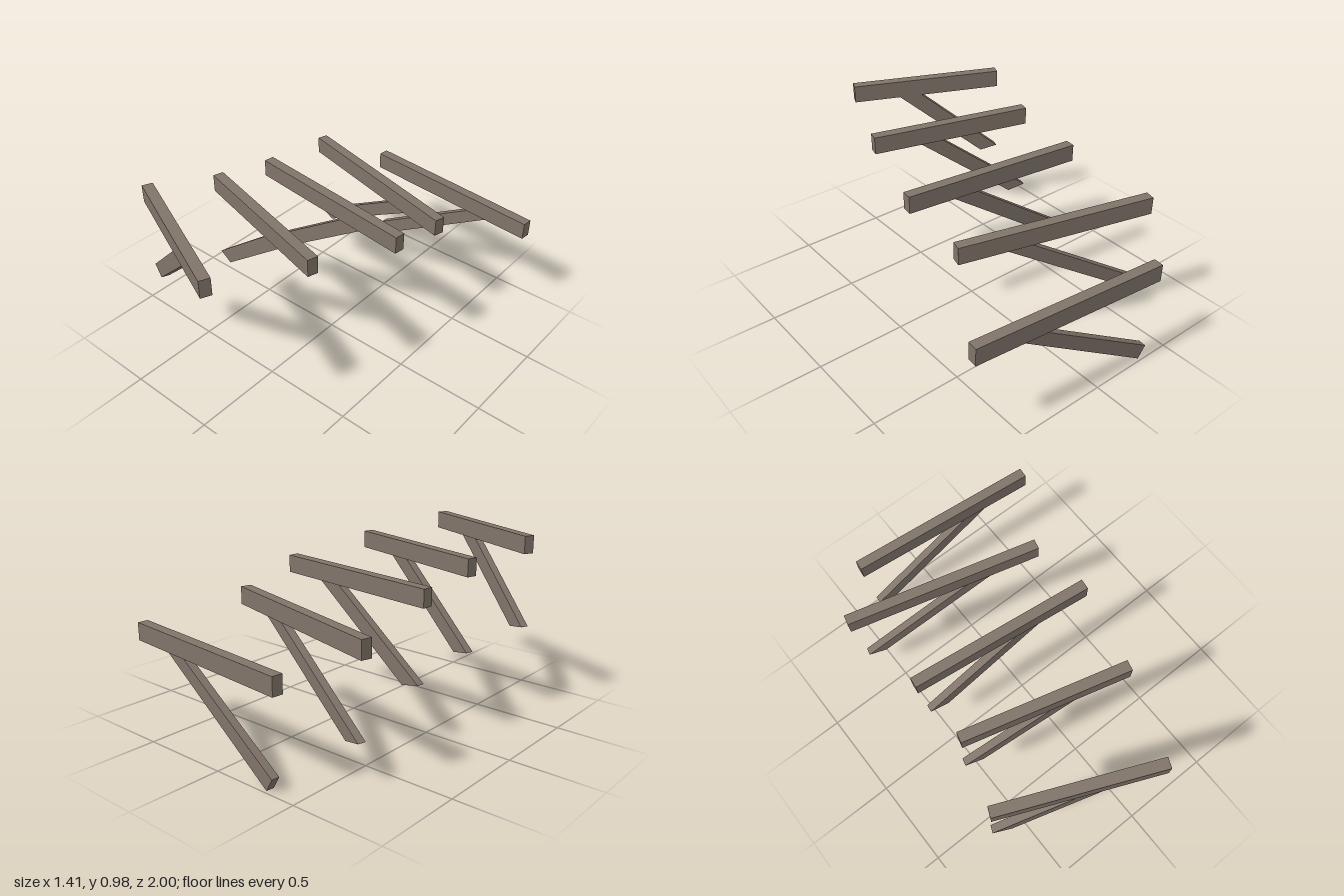
import * as THREE from 'three';

const BEAM_W = 0.058, BEAM_H = 0.097, BRACE_W = 0.043;

// Each bracket: beam centre line in plan (x0,z0)-(x1,z1), underside height,
// and brace outline: foot corners [x, y], then x of the two corners under the beam.
const brackets = [
  { x0: -0.393, z0: -0.97, x1: 0.699, z1: -0.868, y: 0.48, feet: [[-0.362, 0.07], [-0.321, 0.0]], head: [0.305, 0.438] },
  { x0: -0.647, z0: -0.674, x1: 0.418, z1: -0.398, y: 0.625, feet: [[-0.62, 0.214], [-0.522, 0.192]], head: [0.025, 0.159] },
  { x0: -0.585, z0: -0.138, x1: 0.431, z1: -0.018, y: 0.73, feet: [[-0.556, 0.321], [-0.446, 0.296]], head: [0.028, 0.169] },
  { x0: -0.585, z0: 0.247, x1: 0.294, z1: 0.481, y: 0.81, feet: [[-0.598, 0.4], [-0.499, 0.38]], head: [-0.093, 0.032] },
  { x0: -0.695, z0: 0.628, x1: 0.1, z1: 0.97, y: 0.882, feet: [[-0.708, 0.473], [-0.613, 0.453]], head: [-0.271, -0.15] },
];

export function createModel() {
  const model = new THREE.Group();
  model.name = 'bracedBeams';
  const wood = new THREE.MeshStandardMaterial({ color: 0x80746a });
  wood.name = 'weatheredWood';

  brackets.forEach((b, i) => {
    const dx = b.x1 - b.x0, dz = b.z1 - b.z0;
    const angle = Math.atan2(dz, dx);
    const cx = (b.x0 + b.x1) / 2;
    const bracket = new THREE.Group();
    bracket.name = `bracket${i + 1}`;
    bracket.position.set(cx, 0, (b.z0 + b.z1) / 2);
    bracket.rotation.y = -angle;

    // Horizontal beam
    const beam = new THREE.Mesh(new THREE.BoxGeometry(Math.hypot(dx, dz), BEAM_H, BEAM_W), wood);
    beam.name = 'beam';
    beam.position.y = b.y + BEAM_H / 2;
    bracket.add(beam);

    // Diagonal brace in the beam's vertical plane; x measured on its front face
    const along = x => (x - cx + (BRACE_W / 2) * Math.sin(angle)) / Math.cos(angle);
    const [a, c] = b.feet;
    const outline = new THREE.Shape([
      [along(a[0]), a[1]],
      [along(c[0]), c[1]],
      [along(b.head[1]), b.y],
      [along(b.head[0]), b.y],
    ].map(p => new THREE.Vector2(...p)));
    const geometry = new THREE.ExtrudeGeometry(outline, { depth: BRACE_W, bevelEnabled: false });
    geometry.translate(0, 0, -BRACE_W / 2);
    const brace = new THREE.Mesh(geometry, wood);
    brace.name = 'brace';
    bracket.add(brace);

    model.add(bracket);
  });
  return model;
}
